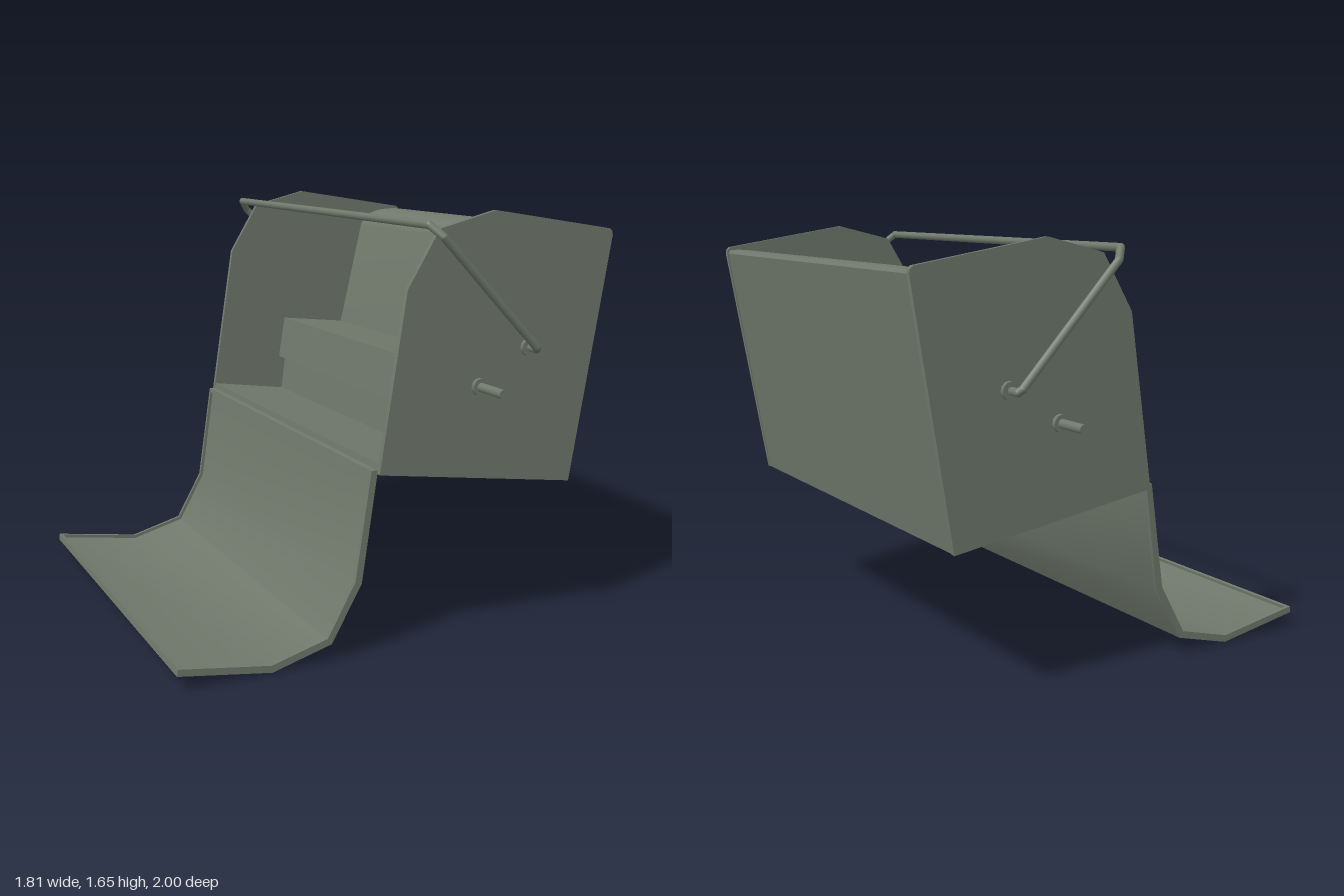
import * as THREE from 'three';
import { toCreasedNormals } from 'three/addons/utils/BufferGeometryUtils.js';

const material = new THREE.MeshStandardMaterial({ color: 0x70796c });
const Z0 = -0.008; // middle of the width

function add(parent, geometry, name) {
  const mesh = new THREE.Mesh(geometry, material);
  mesh.name = name;
  parent.add(mesh);
  return mesh;
}

// Extrude an x-y outline between two z positions
function slab(parent, outline, zFrom, zTo, name) {
  const shape = new THREE.Shape(outline.map(([x, y]) => new THREE.Vector2(x, y)));
  const g = new THREE.ExtrudeGeometry(shape, { depth: zTo - zFrom, bevelEnabled: false });
  g.translate(0, 0, zFrom);
  return add(parent, toCreasedNormals(g, 0.5), name);
}

// Round bar between two points
function rod(parent, a, b, radius, name, sides = 10) {
  const from = new THREE.Vector3(...a), to = new THREE.Vector3(...b);
  const dir = to.clone().sub(from);
  const mesh = add(parent, new THREE.CylinderGeometry(radius, radius, dir.length(), sides), name);
  mesh.position.copy(from).add(to).multiplyScalar(0.5);
  mesh.quaternion.setFromUnitVectors(new THREE.Vector3(0, 1, 0), dir.normalize());
  return mesh;
}

const mix = (p, q, t) => [p[0] + (q[0] - p[0]) * t, p[1] + (q[1] - p[1]) * t];

function buildBody() {
  const body = new THREE.Group();
  body.name = 'body';

  // End plates
  const plate = [
    [-0.115, 0.7], [0.74, 0.575], [0.9, 1.54], [0.898, 1.556], [0.885, 1.567],
    [0.36, 1.65], [0.12, 1.59], [-0.01, 1.375],
  ];
  slab(body, plate, Z0 + 0.825, Z0 + 0.845, 'leftEndPlate');
  slab(body, plate, Z0 - 0.845, Z0 - 0.825, 'rightEndPlate');

  // Stepped interior with back wall, floor and rounded upper lip
  const lip = new THREE.CubicBezierCurve(
    new THREE.Vector2(0.685, 1.475), new THREE.Vector2(0.7, 1.53),
    new THREE.Vector2(0.76, 1.56), new THREE.Vector2(0.885, 1.555),
  ).getPoints(12).map((p) => [p.x, p.y]);
  const profile = [
    [-0.113, 0.703], [0.738, 0.577], [0.895, 1.54], ...lip.reverse(),
    [0.575, 1.0], [0.262, 1.035], [0.232, 0.845], [0.265, 0.84],
    [0.244, 0.685], [-0.108, 0.737],
  ];
  slab(body, profile, Z0 - 0.825, Z0 + 0.825, 'steppedInterior');

  // Pivot pins and collars on both ends
  for (const s of [-1, 1]) {
    const z = (d) => Z0 + s * d;
    rod(body, [0.305, 0.995, z(0.84)], [0.305, 0.995, s], 0.018, 'pivotPin', 12);
    rod(body, [0.305, 0.995, z(0.84)], [0.305, 0.995, z(0.862)], 0.034, 'pinCollar', 12);
    rod(body, [0.52, 1.13, z(0.84)], [0.52, 1.13, z(0.862)], 0.034, 'handleCollar', 12);
  }
  return body;
}

function buildHandle() {
  const handle = new THREE.Group();
  handle.name = 'handle';
  const half = [
    [0.52, 1.13, 0.84], [0.52, 1.13, 0.905], [0.508, 1.142, 0.915],
    [0.1, 1.565, 0.905], [0.062, 1.607, 0.865],
  ];
  const path = [
    ...half.map(([x, y, z]) => [x, y, Z0 + z]),
    ...half.reverse().map(([x, y, z]) => [x, y, Z0 - z]),
  ];
  path.forEach((p, i) => {
    if (i === 0) return;
    rod(handle, path[i - 1], p, 0.0155, 'handleBar');
    if (i < path.length - 1) {
      add(handle, new THREE.SphereGeometry(0.0155, 10, 8), 'handleJoint').position.set(...p);
    }
  });
  return handle;
}

function buildLid() {
  const lid = new THREE.Group();
  lid.name = 'lid';
  const outer = [[-0.907, 0.058], [-0.54, 0], [-0.298, 0.066], [-0.174, 0.285], [-0.112, 0.714]];
  const inner = [[-0.903, 0.084], [-0.543, 0.028], [-0.315, 0.09], [-0.201, 0.294], [-0.138, 0.714]];
  const skin = outer.map((p, i) => mix(p, inner[i], 0.5));
  const half = 0.825, rim = 0.014;

  // Folded sheet
  slab(lid, [...outer, ...skin.reverse()], Z0 - half + rim, Z0 + half - rim, 'lidSheet');

  // Raised rim along both sides
  const band = [...outer, ...[...inner].reverse()];
  slab(lid, band, Z0 + half - rim, Z0 + half, 'lidLeftRim');
  slab(lid, band, Z0 - half, Z0 - half + rim, 'lidRightRim');

  // Raised rim along the free edge and the hinge edge
  const cap = (a, b, t) => [outer[a], mix(outer[a], outer[b], t), mix(inner[a], inner[b], t), inner[a]];
  slab(lid, cap(0, 1, 0.04), Z0 - half + rim, Z0 + half - rim, 'lidFreeEdge');
  slab(lid, cap(4, 3, 0.035), Z0 - half + rim, Z0 + half - rim, 'lidHingeEdge');
  return lid;
}

export function createModel() {
  const model = new THREE.Group();
  model.name = 'openContainer';
  model.add(buildBody(), buildHandle(), buildLid());
  return model;
}
